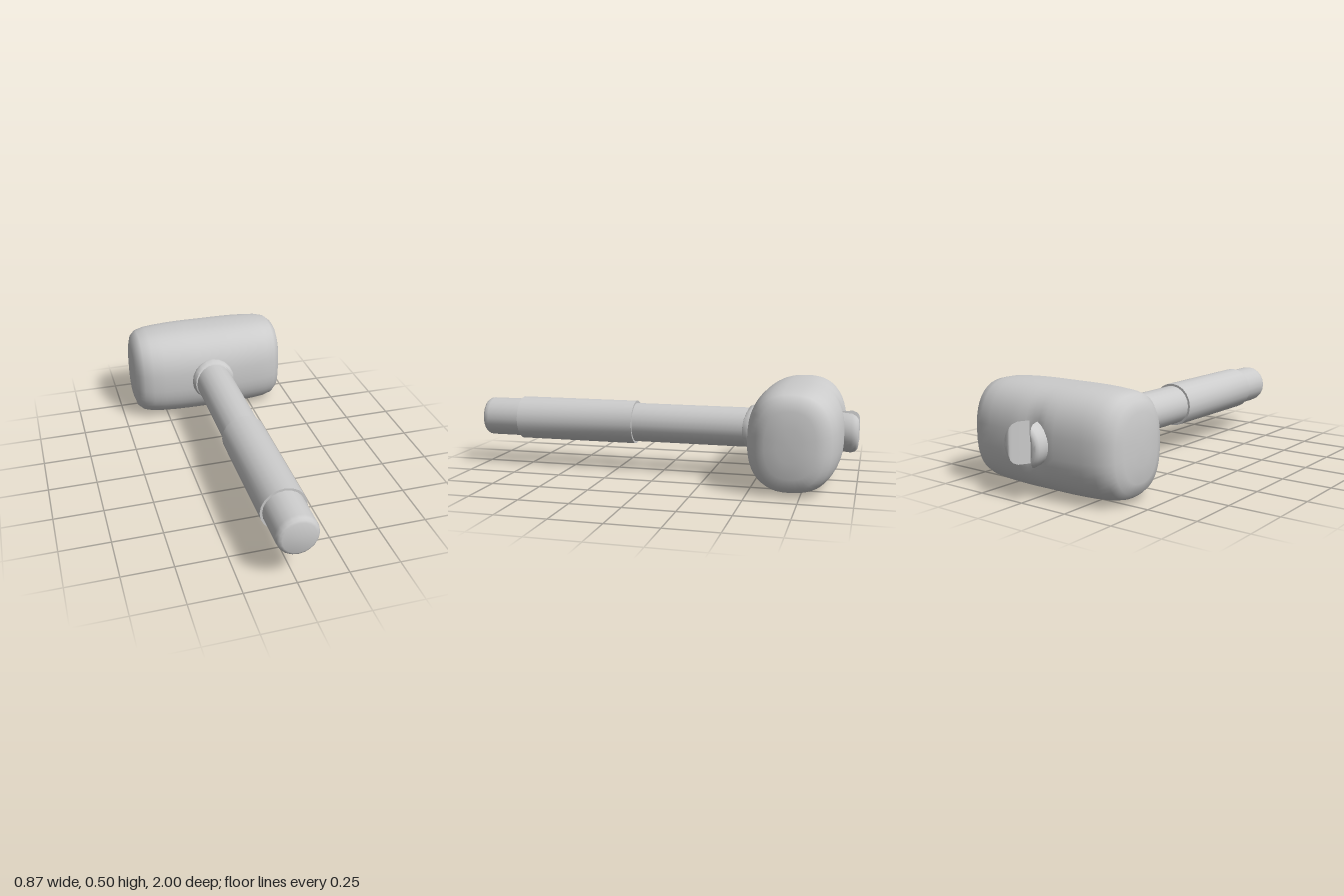
import * as THREE from 'three';
import { toCreasedNormals } from 'three/addons/utils/BufferGeometryUtils.js';

const AXIS_Y = 0.254, HEAD_Z = -0.703;
const material = new THREE.MeshStandardMaterial({ color: 0xcccccc });

function addMesh(parent, name, geometry) {
  const mesh = new THREE.Mesh(geometry, material);
  mesh.name = name;
  parent.add(mesh);
  return mesh;
}

// Skin closed rings of [x, y, z] points, counter-clockwise about the loft direction, capping both ends
function loft(rings) {
  const n = rings[0].length, last = (rings.length - 1) * n;
  const points = rings.flat(), index = [];
  const centre = ring => [0, 1, 2].map(k => ring.reduce((s, p) => s + p[k], 0) / n);
  const first = points.push(centre(rings[0])) - 1;
  const end = points.push(centre(rings[rings.length - 1])) - 1;
  for (let j = 0; j < n; j++) {
    const k = (j + 1) % n;
    for (let i = 0; i < last; i += n) {
      index.push(i + j, i + k, i + n + j, i + k, i + n + k, i + n + j);
    }
    index.push(first, k, j, end, last + j, last + k);
  }
  const geometry = new THREE.BufferGeometry();
  geometry.setAttribute('position', new THREE.Float32BufferAttribute(points.flat(), 3));
  geometry.setIndex(index);
  geometry.computeVertexNormals();
  return geometry;
}

// Turned part along z from [radius, z] pairs
function turned(profile, sides = 20) {
  const g = new THREE.LatheGeometry(profile.map(p => new THREE.Vector2(...p)), sides);
  return g.rotateX(Math.PI / 2).translate(0, AXIS_Y, 0);
}

// Swollen block: superellipse sections along x, shrinking towards the striking faces
function headGeometry() {
  // [x, half height, half depth]
  const half = [
    [0, 0.25, 0.231], [0.04, 0.25, 0.231], [0.08, 0.25, 0.231], [0.13, 0.25, 0.229],
    [0.2, 0.249, 0.225], [0.27, 0.246, 0.219], [0.335, 0.241, 0.21], [0.385, 0.23, 0.19],
    [0.415, 0.205, 0.16], [0.43, 0.158, 0.118], [0.436, 0.08, 0.06], [0.437, 0.02, 0.015],
  ];
  const sections = [...half.slice(1).reverse().map(([x, h, d]) => [-x, h, d]), ...half];
  const power = v => Math.sign(v) * Math.abs(v) ** (2 / 2.5);
  return loft(sections.map(([x, h, d]) => Array.from({ length: 48 }, (_, j) => {
    const a = j / 48 * Math.PI * 2;
    const y = h * power(Math.cos(a));
    let z = d * power(Math.sin(a));
    // shallow dimple in the back, between the prongs
    if (z < 0) z += 0.03 * Math.exp(-((x / 0.05) ** 2) - (y / 0.13) ** 2);
    return [x, 0.252 + y, HEAD_Z + z];
  })));
}

// Half of the split handle end: round outside, sloping flat inside
function prongGeometry() {
  // [z, outer radius, inner flat x]
  const sections = [[-0.84, 0.095, 0.012], [-0.9, 0.098, 0.017], [-0.935, 0.103, 0.033],
    [-0.965, 0.108, 0.048], [-0.985, 0.105, 0.058], [-0.996, 0.097, 0.064], [-1, 0.087, 0.069]];
  const steps = 14;
  return toCreasedNormals(loft(sections.map(([z, r, flat]) => {
    const limit = Math.acos(flat / r);
    return Array.from({ length: steps + 1 }, (_, j) => {
      const a = limit * (1 - 2 * j / steps);
      return [r * Math.cos(a), r * Math.sin(a), z];
    });
  })), 0.75);
}

export function createModel() {
  const model = new THREE.Group();
  model.name = 'mallet';

  addMesh(model, 'head', headGeometry());

  // Handle with a softened butt
  addMesh(model, 'handle', toCreasedNormals(turned([
    [0, -0.6], [0.102, -0.6], [0.102, 0.965], [0.099, 0.984], [0.091, 0.995], [0.08, 1], [0, 1],
  ]), 0.7));

  // Grip sleeve
  addMesh(model, 'grip', toCreasedNormals(turned([
    [0.1, 0.15], [0.114, 0.15], [0.114, 0.79], [0.1, 0.79],
  ]), 0.7));

  // Collar, bent to follow the curve of the head
  const collar = turned([
    [0.1, -0.51], [0.112, -0.5], [0.12, -0.465], [0.119, -0.447], [0.11, -0.431], [0.1, -0.429],
  ]);
  const p = collar.attributes.position;
  for (let i = 0; i < p.count; i++) {
    p.setZ(i, p.getZ(i) - 0.03 * ((p.getY(i) - AXIS_Y) / 0.12) ** 2);
  }
  addMesh(model, 'collar', toCreasedNormals(collar, 0.7));

  // Pair of prongs at the back
  const prong = prongGeometry();
  for (const [name, turn] of [['leftProng', 0], ['rightProng', Math.PI]]) {
    const mesh = addMesh(model, name, prong);
    mesh.position.y = AXIS_Y + 0.002;
    mesh.rotation.z = turn;
  }
  return model;
}
